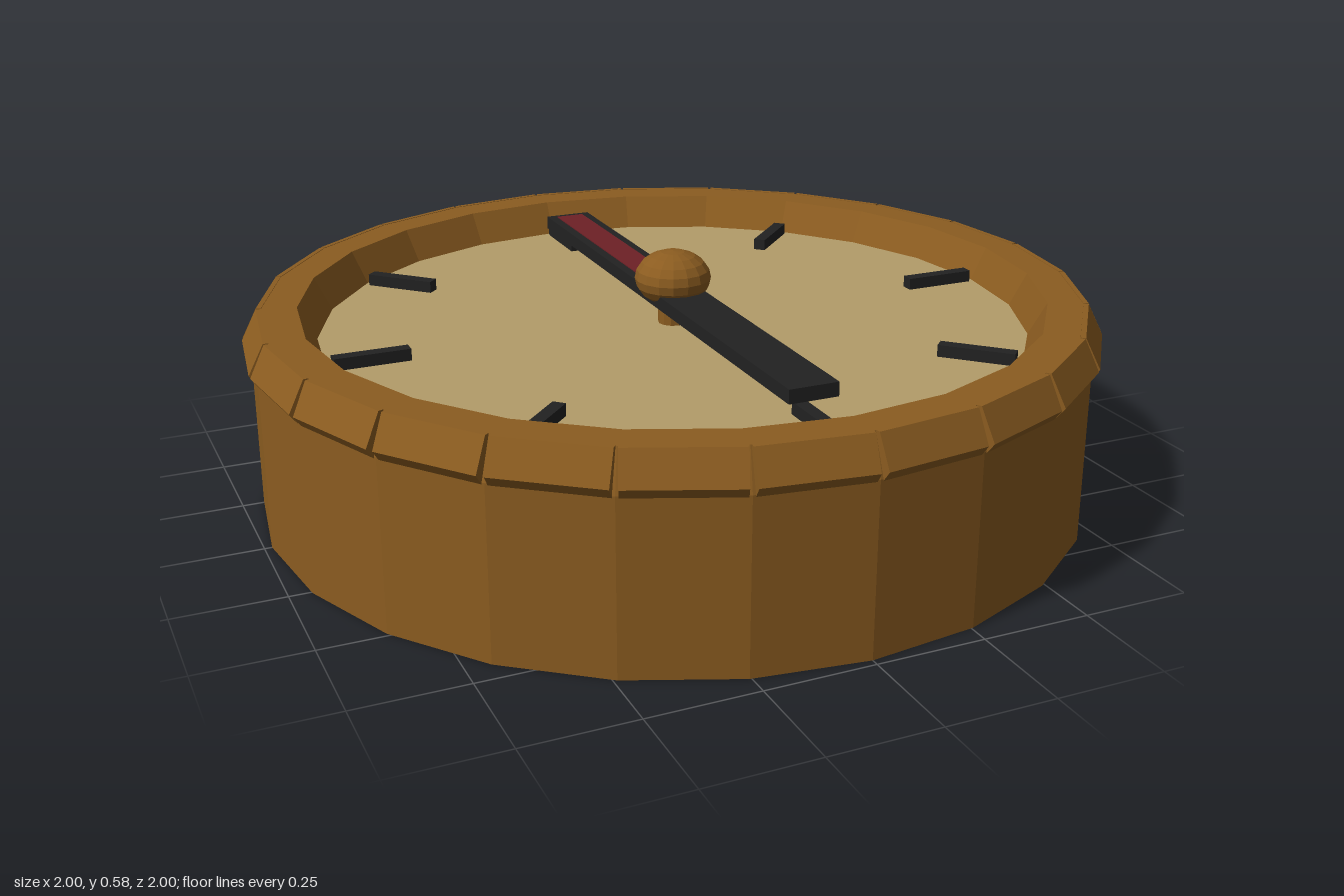
import * as THREE from 'three';

const SIDES = 24;

function material(name, color) {
  const m = new THREE.MeshStandardMaterial({ color, flatShading: true });
  m.name = name;
  return m;
}

export function createModel() {
  const group = new THREE.Group();
  const wood = material('wood', 0x8b5c20);
  const parchment = material('parchment', 0xb39c69);
  const black = material('black', 0x222222);
  const red = material('red', 0x6e2026);

  const add = (name, geometry, mat, x = 0, y = 0, z = 0, parent = group) => {
    const mesh = new THREE.Mesh(geometry, mat);
    mesh.name = name;
    mesh.position.set(x, y, z);
    parent.add(mesh);
    return mesh;
  };

  // Case: closed bottom, faceted wall, flat lip and sloping inner wall
  const profile = [
    [0, 0], [0.983, 0], [0.983, 0.39], [0.953, 0.48], [0.872, 0.48], [0.83, 0.4],
  ].map(([r, y]) => new THREE.Vector2(r, y));
  add('case', new THREE.LatheGeometry(profile, SIDES), wood);

  // Dial plate
  const dial = new THREE.CircleGeometry(0.831, SIDES);
  dial.rotateX(-Math.PI / 2);
  add('dial', dial, parchment, 0, 0.402, 0);

  // Bezel: bevelled blocks with narrow notches between them
  const section = new THREE.Shape([
    [0.945, 0.38], [0.97, 0.38], [0.9926, 0.41], [0.957, 0.481], [0.945, 0.481],
  ].map(([r, y]) => new THREE.Vector2(r, y)));
  const halfWidth = 0.122;
  const block = new THREE.ExtrudeGeometry(section, { depth: halfWidth * 2, bevelEnabled: false });
  block.translate(0, 0, -halfWidth);
  const bezel = new THREE.Group();
  bezel.name = 'bezel';
  group.add(bezel);
  for (let i = 0; i < SIDES; i++) {
    add('bezelBlock', block, wood, 0, 0, 0, bezel).rotation.y = ((i + 0.5) / SIDES) * Math.PI * 2;
  }

  // Eight direction marks
  const mark = new THREE.BoxGeometry(0.175, 0.03, 0.03);
  mark.translate(0.73, 0, 0);
  const marks = new THREE.Group();
  marks.name = 'directionMarks';
  group.add(marks);
  for (let i = 0; i < 8; i++) {
    add('directionMark', mark, black, 0, 0.415, 0, marks).rotation.y = (i / 8) * Math.PI * 2;
  }

  // Needle with a red strip on its north half
  add('needle', new THREE.BoxGeometry(0.115, 0.032, 1.42), black, 0, 0.47, 0);
  add('northStrip', new THREE.BoxGeometry(0.07, 0.004, 0.62), red, 0, 0.4865, -0.38);

  // Pivot pin and flattened knob
  add('pivot', new THREE.CylinderGeometry(0.035, 0.035, 0.1, 12), wood, 0, 0.45, 0);
  const knob = new THREE.SphereGeometry(0.09, 16, 10);
  knob.scale(1, 0.73, 1);
  add('knob', knob, wood, 0, 0.512, 0);

  return group;
}
